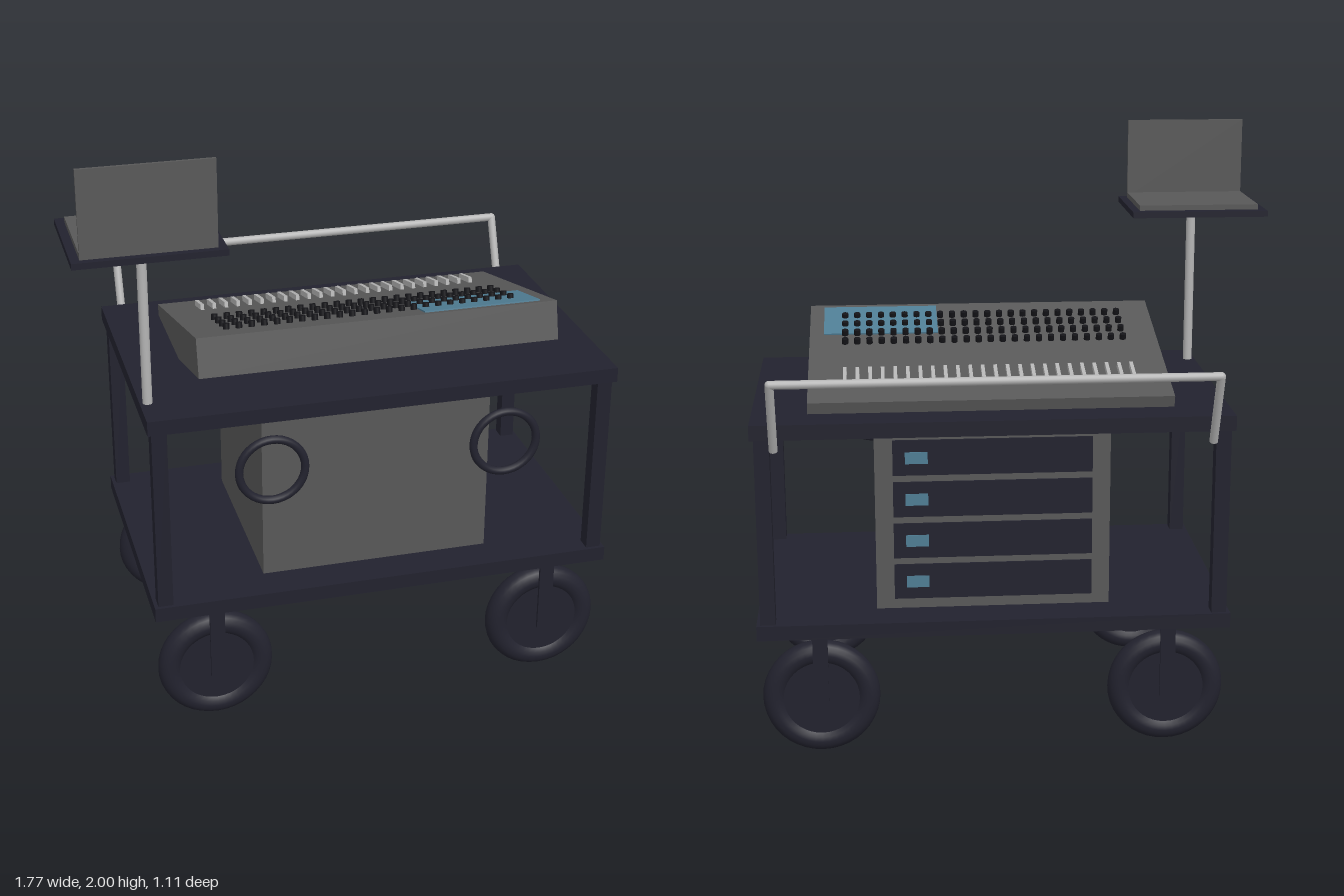
import * as THREE from 'three';

const mat = (name, color) => {
  const m = new THREE.MeshStandardMaterial({ color });
  m.name = name;
  return m;
};

export function createModel() {
  const root = new THREE.Group();
  root.name = 'mixingCart';

  const navy = mat('dark navy', 0x22222e);
  const grey = mat('case grey', 0x585858);
  const silver = mat('silver', 0xb4b4b4);
  const black = mat('knob black', 0x141418);
  const blue = mat('display blue', 0x4f7d94);

  const add = (name, geo, material, x, y, z, parent = root) => {
    const m = new THREE.Mesh(geo, material);
    m.name = name;
    m.position.set(x, y, z);
    parent.add(m);
    return m;
  };
  const box = (name, material, w, h, d, x, y, z, parent) =>
    add(name, new THREE.BoxGeometry(w, h, d), material, x, y, z, parent);

  // Round bar between two points
  const bar = (name, a, b, r, material) => {
    const p = new THREE.Vector3(...a), q = new THREE.Vector3(...b);
    const dir = q.clone().sub(p);
    const mid = p.clone().add(q).multiplyScalar(0.5);
    const m = add(name, new THREE.CylinderGeometry(r, r, dir.length(), 16), material, mid.x, mid.y, mid.z);
    m.quaternion.setFromUnitVectors(new THREE.Vector3(0, 1, 0), dir.normalize());
    return m;
  };

  // Cart decks and corner posts
  const cx = 0.102, cz = 0.032;
  box('lowerDeck', navy, 1.565, 0.05, 0.94, cx, 0.449, cz);
  box('upperDeck', navy, 1.565, 0.05, 0.94, cx, 1.129, cz);
  for (const sx of [-1, 1]) {
    for (const sz of [-1, 1]) {
      box('cornerPost', navy, 0.05, 0.63, 0.05, cx + sx * 0.745, 0.789, cz + sz * 0.433);
    }
  }

  // Wheels with forks
  const tyreGeo = new THREE.TorusGeometry(0.155, 0.04, 16, 40);
  const hubGeo = new THREE.CylinderGeometry(0.135, 0.135, 0.055, 32).rotateX(Math.PI / 2);
  const forkGeo = new THREE.BoxGeometry(0.05, 0.25, 0.01);
  for (const x of [-0.475, 0.68]) {
    for (const z of [-0.37, 0.44]) {
      const wheel = new THREE.Group();
      wheel.name = 'wheel';
      wheel.position.set(x, 0.2, z);
      root.add(wheel);
      add('tyre', tyreGeo, navy, 0, 0, 0, wheel);
      add('hub', hubGeo, navy, 0, 0, 0, wheel);
      for (const s of [-1, 1]) add('forkPlate', forkGeo, navy, 0, 0.105, s * 0.053, wheel);
    }
  }

  // Equipment rack with four units facing the back
  box('rackCase', grey, 0.78, 0.63, 0.675, 0.1, 0.789, 0.037);
  for (let i = 0; i < 4; i++) {
    const y = 0.569 + i * 0.143;
    box('rackUnit', navy, 0.66, 0.12, 0.008, 0.1, y, -0.303);
    box('rackDisplay', blue, 0.075, 0.04, 0.006, 0.352, y, -0.307);
  }

  // Tilted mixing console
  const mixer = new THREE.Group();
  mixer.name = 'console';
  mixer.position.set(0.102, 1.217, 0.05);
  mixer.rotation.x = -0.244;
  root.add(mixer);
  box('consoleBody', grey, 1.2, 0.13, 0.725, 0, 0, 0, mixer);
  box('consoleScreen', blue, 0.395, 0.006, 0.21, 0.354, 0.067, 0.232, mixer);

  // Faders and rows of knobs, one of each per channel
  const faderGeo = new THREE.BoxGeometry(0.012, 0.02, 0.105);
  const knobGeo = new THREE.CylinderGeometry(0.011, 0.011, 0.02, 12);
  for (let i = 0; i < 24; i++) {
    const x = -0.481 + i * 0.0417;
    add('fader', faderGeo, silver, x, 0.074, -0.203, mixer);
    for (let r = 0; r < 4; r++) add('knob', knobGeo, black, x, 0.074, 0.061 + r * 0.065, mixer);
  }

  // Push handle at the back
  const L = -0.605, R = 0.808;
  const low = [1.072, -0.444], high = [1.312, -0.543];
  for (const x of [L, R]) {
    bar('handleArm', [x, ...low], [x, ...high], 0.014, silver);
    add('handleJoint', new THREE.SphereGeometry(0.014, 16, 12), silver, x, ...high);
  }
  bar('handleGrip', [L, ...high], [R, ...high], 0.014, silver);

  // Cable rings on the front
  for (const x of [-0.29, 0.492]) {
    add('cableRing', new THREE.TorusGeometry(0.108, 0.0135, 12, 40), navy, x, 0.946, 0.523);
  }

  // Laptop stand, with the laptop facing the back
  bar('standPole', [-0.655, 1.15, 0.365], [-0.655, 1.705, 0.365], 0.016, silver);
  box('standTray', navy, 0.47, 0.02, 0.39, -0.655, 1.712, 0.36);
  box('laptopBase', grey, 0.415, 0.018, 0.32, -0.655, 1.731, 0.364);
  box('laptopLid', grey, 0.415, 0.278, 0.01, -0.655, 1.861, 0.527);

  return root;
}
